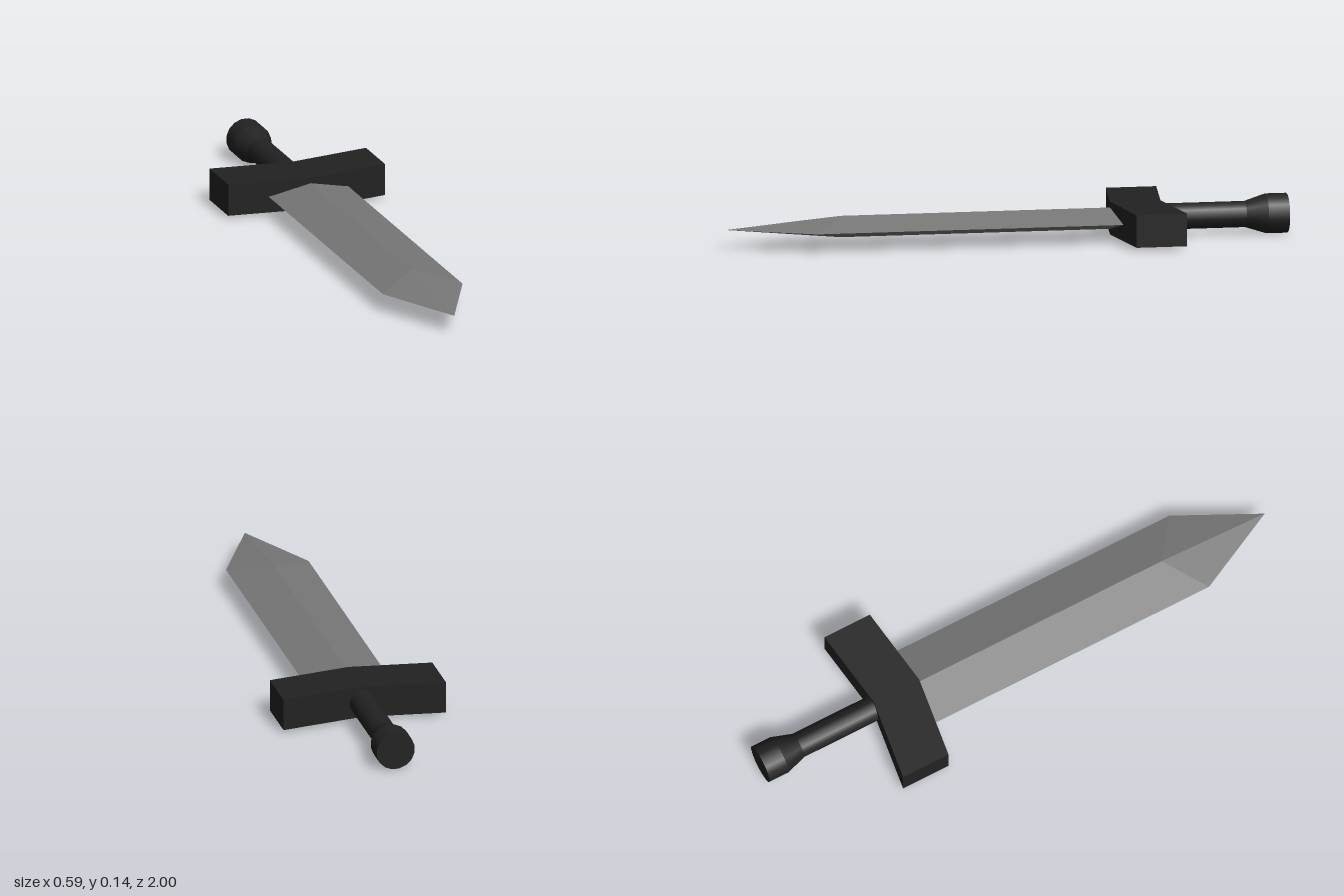
import * as THREE from 'three';

const AXIS_Y = 0.069;

function part(name, geometry, color, flatShading) {
  const material = new THREE.MeshStandardMaterial({ color, flatShading });
  const mesh = new THREE.Mesh(geometry, material);
  mesh.name = name;
  return mesh;
}

// Diamond-section blade; edges and ridges bend to the tip at different z
function bladeGeometry() {
  const w = 0.15, h = 0.038, back = -0.45, edgeZ = 0.7, ridgeZ = 0.59;
  const section = [[w, 0, edgeZ], [0, h, ridgeZ], [-w, 0, edgeZ], [0, -h, ridgeZ]];
  const positions = [];
  for (const [x, y] of section) positions.push(x, y, back);
  for (const [x, y, z] of section) positions.push(x, y, z);
  positions.push(0, 0, 1);
  const index = [0, 2, 1, 0, 3, 2];
  for (let i = 0; i < 4; i++) {
    const j = (i + 1) % 4;
    index.push(i, j, 4 + j, i, 4 + j, 4 + i, 4 + i, 4 + j, 8);
  }
  const geometry = new THREE.BufferGeometry();
  geometry.setAttribute('position', new THREE.Float32BufferAttribute(positions, 3));
  geometry.setIndex(index);
  const faceted = geometry.toNonIndexed();
  faceted.computeVertexNormals();
  return faceted;
}

export function createModel() {
  const sword = new THREE.Group();
  sword.name = 'sword';

  const blade = part('blade', bladeGeometry(), 0x777777, true);
  blade.position.y = AXIS_Y;

  // Chevron crossguard, bent towards the blade
  const outline = [[-0.295, 0.41], [0, 0.37], [0.295, 0.41], [0.295, 0.59], [0, 0.55], [-0.295, 0.59]];
  const guardShape = new THREE.Shape(outline.map(([x, y]) => new THREE.Vector2(x, y)));
  const guardGeometry = new THREE.ExtrudeGeometry(guardShape, { depth: 0.116, bevelEnabled: false });
  guardGeometry.rotateX(-Math.PI / 2);
  const guard = part('crossguard', guardGeometry, 0x222222, true);
  guard.position.y = AXIS_Y - 0.058;

  // Round grip flaring into the pommel; doubled points keep the edges sharp
  const profile = [
    [0, 0.5], [0.046, 0.5], [0.046, 0.5], [0.046, 0.85], [0.046, 0.85],
    [0.07, 0.925], [0.07, 0.925], [0.07, 1], [0.07, 1], [0, 1],
  ].map(([r, y]) => new THREE.Vector2(r, y));
  const handleGeometry = new THREE.LatheGeometry(profile, 16, Math.PI / 16);
  handleGeometry.rotateX(-Math.PI / 2);
  const handle = part('gripAndPommel', handleGeometry, 0x222222, false);
  handle.position.y = AXIS_Y;

  sword.add(blade, guard, handle);
  return sword;
}
